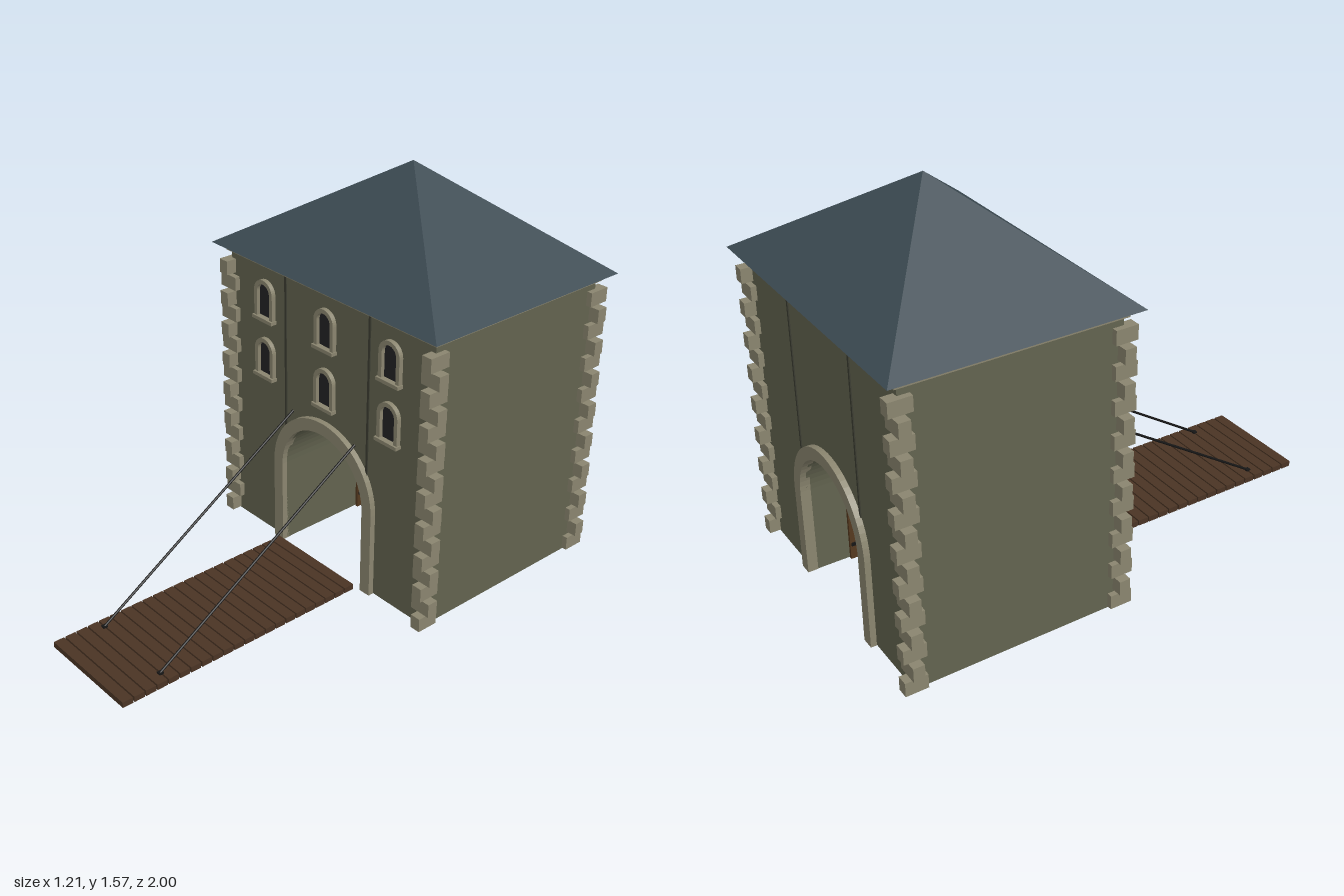
import * as THREE from 'three';

const mat = (name, color) => {
  const m = new THREE.MeshStandardMaterial({ color });
  m.name = name;
  return m;
};

export function createModel() {
  const root = new THREE.Group();
  root.name = 'gatehouse';
  const wall = mat('wall plaster', 0x62634f), seam = mat('wall seam', 0x3c3d32);
  const stone = mat('trim stone', 0x8a856f), slate = mat('roof slate', 0x3c4a52);
  const wood = mat('bridge wood', 0x4a3424), doorWood = mat('door wood', 0x55391f);
  const iron = mat('iron', 0x161616), dark = mat('window dark', 0x222224);

  const add = (name, geo, material, x = 0, y = 0, z = 0, parent = root) => {
    const m = new THREE.Mesh(geo, material);
    m.name = name;
    m.position.set(x, y, z);
    parent.add(m);
    return m;
  };
  const box = (name, w, h, d, material, x, y, z, parent) =>
    add(name, new THREE.BoxGeometry(w, h, d), material, x, y, z, parent);
  const extrude = (shape, depth, curveSegments = 16) =>
    new THREE.ExtrudeGeometry(shape, { depth, bevelEnabled: false, curveSegments });

  // Solid arch outline: straight legs from y0 to the spring line, then a half circle
  const arch = (r, y0, spring) => {
    const s = new THREE.Shape();
    s.moveTo(-r, y0);
    s.lineTo(r, y0);
    s.lineTo(r, spring);
    s.absarc(0, spring, r, 0, Math.PI, false);
    s.lineTo(-r, y0);
    return s;
  };
  // Arch band: outer arch, then back along the inner one
  const archBand = (ro, ri, y0, spring) => {
    const s = new THREE.Shape();
    s.moveTo(-ri, y0);
    s.lineTo(-ro, y0);
    s.lineTo(-ro, spring);
    s.absarc(0, spring, ro, Math.PI, 0, true);
    s.lineTo(ro, y0);
    s.lineTo(ri, y0);
    s.lineTo(ri, spring);
    s.absarc(0, spring, ri, 0, Math.PI, false);
    s.lineTo(-ri, y0);
    return s;
  };

  const halfW = 0.552, zFront = -0.113, zBack = -0.941;
  const zMid = (zFront + zBack) / 2, depth = zFront - zBack;
  const gateR = 0.23, spring = 0.36;

  // Tower body with the vaulted passage running through it
  const body = new THREE.Shape();
  body.moveTo(-halfW, 0.005);
  body.lineTo(-gateR, 0.005);
  body.lineTo(-gateR, spring);
  body.absarc(0, spring, gateR, Math.PI, 0, true);
  body.lineTo(gateR, 0.005);
  body.lineTo(halfW, 0.005);
  body.lineTo(halfW, 1.17);
  body.lineTo(-halfW, 1.17);
  add('towerBody', extrude(body, depth), wall, 0, 0, zBack);

  // Cornice and pyramid roof
  box('cornice', 1.134, 0.028, depth + 0.03, stone, 0, 1.179, zMid);
  const roofGeo = new THREE.ConeGeometry(Math.SQRT1_2, 0.38, 4).toNonIndexed();
  roofGeo.rotateY(Math.PI / 4);
  roofGeo.scale(1.212, 1, 0.94);
  roofGeo.computeVertexNormals();
  add('roof', roofGeo, slate, 0, 1.385, zMid);

  // Gate surrounds and vertical wall seams, front and back
  for (const [z, dir] of [[zFront, 1], [zBack, -1]]) {
    const band = extrude(archBand(0.28, gateR, 0.003, spring), 0.04);
    add('gateSurround', band, stone, 0, 0, z - 0.02 + dir * 0.003);
    for (const side of [-1, 1])
      box('wallSeam', 0.01, 0.66, 0.008, seam, side * 0.23, 0.835, z);
  }

  // Corner stones, alternating long and short
  const quoins = new THREE.Group();
  quoins.name = 'cornerStones';
  root.add(quoins);
  for (const x of [-halfW, halfW])
    for (const z of [zFront, zBack])
      for (let i = 0; i < 17; i++) {
        const [w, d] = i % 2 ? [0.088, 0.044] : [0.044, 0.088];
        box('cornerStone', w, 0.056, d, stone, x, 0.038 + i * 0.0667, z, quoins);
      }

  // Front windows: two rows of three
  for (const x of [-0.345, 0, 0.345])
    for (const y of [0.71, 0.953]) {
      const win = new THREE.Group();
      win.name = 'window';
      win.position.set(x, y, zFront);
      root.add(win);
      add('windowPane', extrude(arch(0.038, 0, 0.102), 0.006, 10), dark, 0, 0, -0.003, win);
      add('windowFrame', extrude(archBand(0.053, 0.036, 0, 0.102), 0.022, 10), stone, 0, 0, -0.004, win);
      box('windowSill', 0.114, 0.014, 0.03, stone, 0, -0.006, 0.011, win);
    }

  for (const side of [-1, 1]) {
    // Open door leaf against the passage wall, with iron straps
    const door = new THREE.Group();
    door.name = 'door';
    door.position.set(side * 0.22, 0, -0.64);
    root.add(door);
    box('doorLeaf', 0.012, 0.362, 0.31, doorWood, 0, 0.186, 0, door);
    for (const y of [0.07, 0.195, 0.31])
      box('doorStrap', 0.005, 0.014, 0.3, iron, -side * 0.008, y, 0, door);

    // Drawbridge beam and chain with its anchor
    box('bridgeBeam', 0.03, 0.016, 1.04, wood, side * 0.175, 0.009, 0.465);
    const a = new THREE.Vector3(side * 0.175, 0.62, -0.1);
    const b = new THREE.Vector3(side * 0.175, 0.04, 0.81);
    const span = b.clone().sub(a);
    const chain = add('bridgeChain', new THREE.CylinderGeometry(0.005, 0.005, span.length(), 8), iron);
    chain.position.copy(a).add(b).multiplyScalar(0.5);
    chain.quaternion.setFromUnitVectors(new THREE.Vector3(0, 1, 0), span.normalize());
    box('chainAnchor', 0.018, 0.008, 0.018, iron, side * 0.175, 0.039, 0.81);
  }

  // Drawbridge planks
  const planks = 22, pitch = 1.07 / planks;
  for (let i = 0; i < planks; i++)
    box('bridgePlank', 0.44, 0.023, pitch - 0.006, wood, 0, 0.0255, 1 - pitch * (i + 0.5) + 0.003);

  return root;
}
